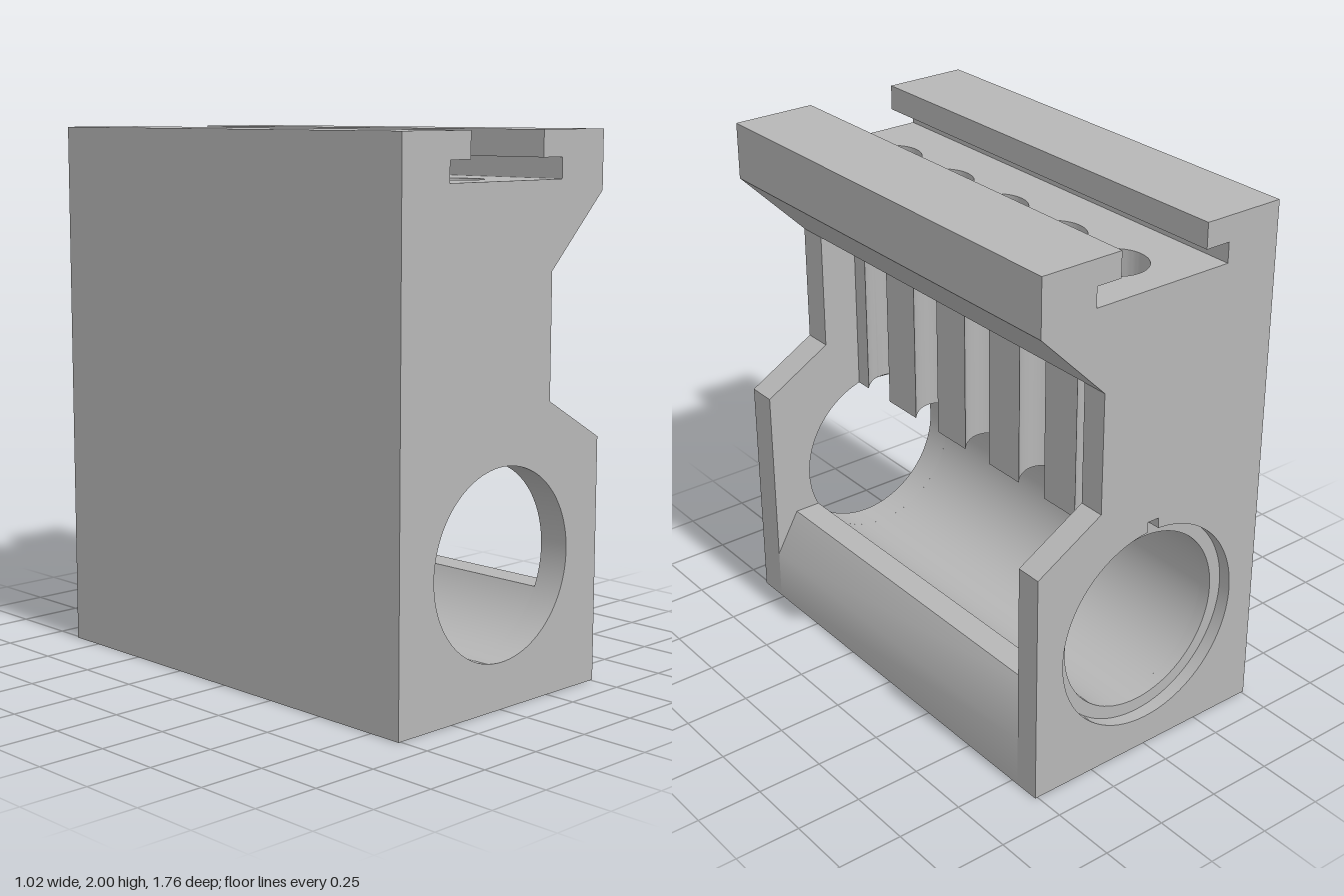
import * as THREE from 'three';
import { toCreasedNormals } from 'three/addons/utils/BufferGeometryUtils.js';

const BORE_Y = 0.515, BORE_R = 0.345, RECESS_R = 0.395, HOLE_R = 0.115;
const FRONT = 0.88, FRONT_IN = 0.765, BACK_IN = -0.78, RECESS_Z = -0.83, BACK = -0.88;
const FLOOR = 1.83, CEIL = 1.515, SEAM_X = -0.13, WALL_X = 0.09, SHAFT_X = 0.24;
const HOLES = [-0.645, -0.33, -0.01, 0.305, 0.625];

const shapeOf = (pts) => new THREE.Shape(pts.map(([x, y]) => new THREE.Vector2(x, y)));
const boreTop = (x) => BORE_Y + Math.sqrt(BORE_R ** 2 - x ** 2);

function extrude(shape, depth) {
  return new THREE.ExtrudeGeometry(shape, { depth, bevelEnabled: false, curveSegments: 48 });
}

export function createModel() {
  const group = new THREE.Group();
  const grey = new THREE.MeshStandardMaterial({ color: 0xb6b6b6 });
  grey.name = 'plain grey';

  function add(name, geometry) {
    const mesh = new THREE.Mesh(toCreasedNormals(geometry, 0.55), grey);
    mesh.name = name;
    group.add(mesh);
  }
  // Extrude a front profile between two z positions
  const along = (name, shape, z0, z1) => add(name, extrude(shape, z1 - z0).translate(0, 0, z0));
  // Extrude a plan (x, -z) upwards
  const upward = (shape, y0, y1) => extrude(shape, y1 - y0).rotateX(-Math.PI / 2).translate(0, y0, 0);

  // End plates: whole outline with a bore
  const endProfile = (hole) => {
    const s = shapeOf([
      [-0.51, 0], [0.51, 0], [0.51, 0.905], [SHAFT_X, 1.06], [SHAFT_X, CEIL], [0.51, 1.785],
      [0.51, 2], [0.185, 2], [0.185, 1.905], [0.285, 1.905], [0.285, FLOOR],
      [-0.285, FLOOR], [-0.285, 1.905], [-0.185, 1.905], [-0.185, 2], [-0.51, 2],
    ]);
    s.holes.push(hole);
    return s;
  };
  const bore = new THREE.Path().absarc(0, BORE_Y, BORE_R, 0, Math.PI * 2, false);
  along('frontPlate', endProfile(bore), FRONT_IN, FRONT);
  along('backPlate', endProfile(bore), RECESS_Z, BACK_IN);

  // Shallow recess around the bore at the back, with a key notch on top
  const a = Math.asin(0.025 / RECESS_R);
  const recess = new THREE.Path();
  recess.absarc(0, BORE_Y, RECESS_R, Math.PI / 2 + a, Math.PI * 2.5 - a, false);
  recess.lineTo(0.025, 0.95);
  recess.lineTo(-0.025, 0.95);
  recess.closePath();
  along('backRecessPlate', endProfile(recess), BACK, RECESS_Z);

  // Base, open cradle, closed side wall and its rail
  const body = shapeOf([[-0.51, 0], [0.51, 0], [0.51, 0.2], [0.415, 0.365], [0.311, 0.365]]);
  body.absarc(0, BORE_Y, BORE_R, Math.asin((0.365 - BORE_Y) / BORE_R), Math.acos(SEAM_X / BORE_R), true);
  [[SEAM_X, FLOOR], [-0.285, FLOOR], [-0.285, 1.905], [-0.185, 1.905], [-0.185, 2], [-0.51, 2]]
    .forEach(([x, y]) => body.lineTo(x, y));
  along('cradleAndSideWall', body, BACK_IN, FRONT_IN);

  // Overhanging rail on the open side
  along('overhangRail', shapeOf([
    [SHAFT_X, CEIL], [0.51, 1.785], [0.51, 2], [0.185, 2], [0.185, 1.905],
    [0.285, 1.905], [0.285, FLOOR], [SHAFT_X, FLOOR],
  ]), BACK_IN, FRONT_IN);

  // Slot floor pierced by the row of holes
  const floor = shapeOf([[SEAM_X, -FRONT_IN], [SHAFT_X, -FRONT_IN], [SHAFT_X, -BACK_IN], [SEAM_X, -BACK_IN]]);
  for (const z of HOLES) floor.holes.push(new THREE.Path().absarc(0, -z, HOLE_R, 0, Math.PI * 2, false));
  add('slotFloor', upward(floor, CEIL, FLOOR));

  // Inner wall, where the holes are cut open into channels
  const cut = Math.acos(WALL_X / HOLE_R);
  const wall = shapeOf([[SEAM_X, -FRONT_IN], [WALL_X, -FRONT_IN]]);
  for (const z of [...HOLES].reverse()) wall.absarc(0, -z, HOLE_R, -cut, cut, true);
  wall.lineTo(WALL_X, -BACK_IN);
  wall.lineTo(SEAM_X, -BACK_IN);
  const channels = upward(wall, 0, CEIL);
  // The underside follows the bore
  const p = channels.attributes.position;
  for (let i = 0; i < p.count; i++) if (p.getY(i) < 0.5) p.setY(i, boreTop(p.getX(i)));
  add('channelWall', channels);

  return group;
}
